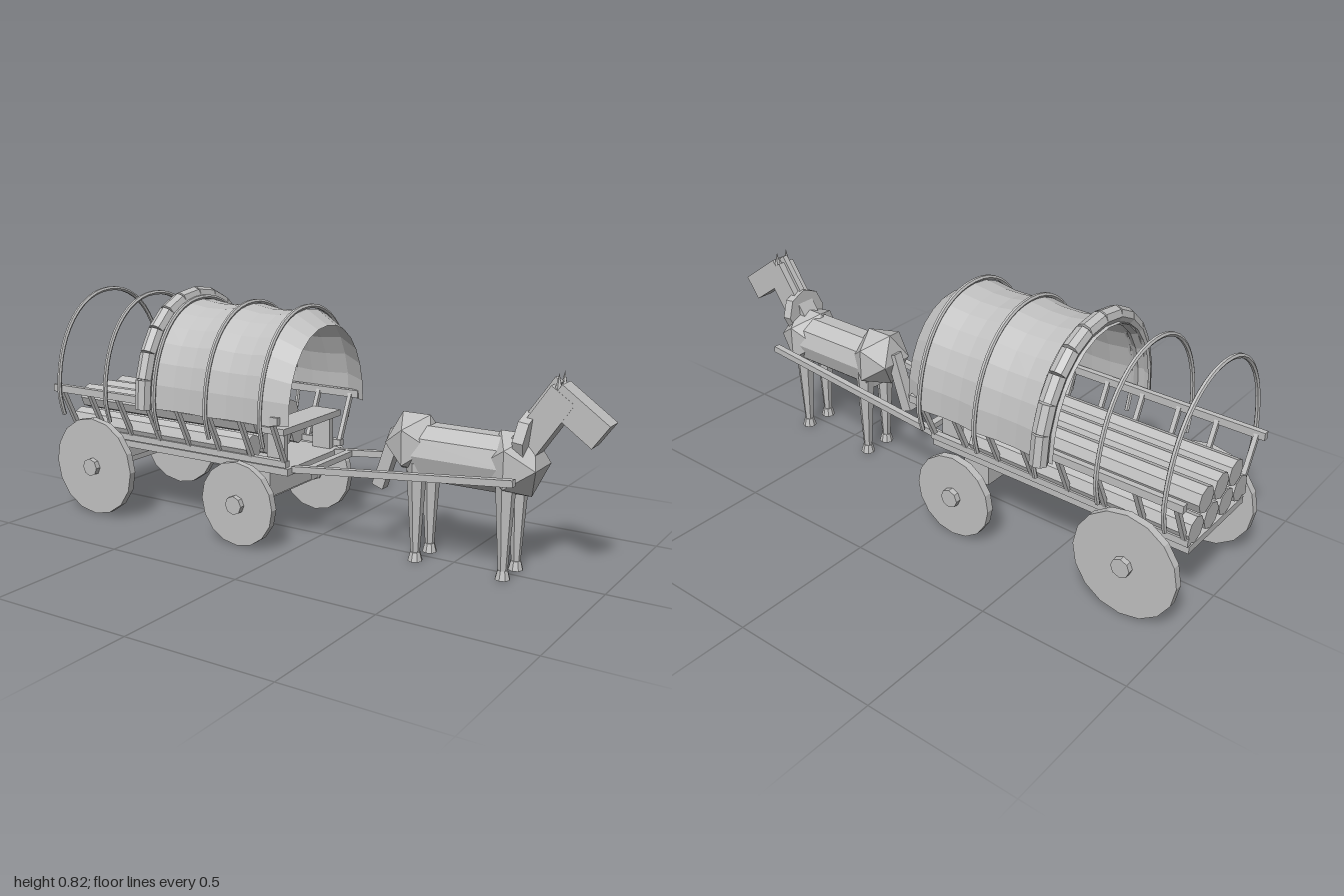
import * as THREE from 'three';

const grey = new THREE.MeshStandardMaterial({ color: 0xc0c0c0, flatShading: true, side: THREE.DoubleSide });
grey.name = 'plain grey';
const V = (x, y, z) => new THREE.Vector3(x, y, z);

function add(parent, name, geometry, x = 0, y = 0, z = 0) {
  const mesh = new THREE.Mesh(geometry, grey);
  mesh.name = name;
  mesh.position.set(x, y, z);
  parent.add(mesh);
  return mesh;
}

const box = (parent, name, w, h, d, x, y, z) => add(parent, name, new THREE.BoxGeometry(w, h, d), x, y, z);

// Square bar between two points: w is its sideways size, h its height
function bar(parent, name, a, b, w, h) {
  const mesh = new THREE.Mesh(new THREE.BoxGeometry(w, h, a.distanceTo(b)), grey);
  mesh.name = name;
  mesh.position.copy(a).lerp(b, 0.5);
  mesh.lookAt(b);
  parent.add(mesh);
  return mesh;
}

// Round bar between two points
function rod(parent, name, a, b, rTop, rBottom, sides) {
  const mesh = add(parent, name, new THREE.CylinderGeometry(rTop, rBottom, a.distanceTo(b), sides));
  mesh.position.copy(a).lerp(b, 0.5);
  mesh.quaternion.setFromUnitVectors(V(0, 1, 0), b.clone().sub(a).normalize());
  return mesh;
}

// Point on the canopy arch, t from 0 (left foot) to 1 (right foot)
const ARCH_Y = 0.43;
function arch(x, a, b, t) {
  const c = Math.cos(t * Math.PI), s = Math.max(0, Math.sin(t * Math.PI)), p = 2 / 2.12;
  return V(x, ARCH_Y + b * s ** p, a * Math.sign(c) * Math.abs(c) ** p);
}

function buildWagon() {
  const wagon = new THREE.Group();
  wagon.name = 'wagon';

  // Undercarriage: wheels, hubs, axles and bolsters
  for (const [label, x, r, depth] of [['rear', -0.82, 0.176, 0.05], ['front', -0.18, 0.144, 0.1]]) {
    for (const s of [1, -1]) {
      add(wagon, label + 'Wheel', new THREE.CylinderGeometry(r, r, 0.026, 16), x, r, s * 0.238).rotation.x = Math.PI / 2;
      add(wagon, label + 'Hub', new THREE.CylinderGeometry(0.032, 0.032, 0.054, 8), x, r, s * 0.243).rotation.x = Math.PI / 2;
    }
    box(wagon, label + 'Axle', 0.04, 0.04, 0.44, x, r, 0);
    box(wagon, label + 'Bolster', depth, 0.245 - r, 0.254, x, (0.245 + r) / 2, 0);
  }

  // Bed with slanted, slatted sides
  box(wagon, 'bed', 0.95, 0.024, 0.334, -0.505, 0.255, 0);
  for (const s of [1, -1]) {
    box(wagon, 'lowerRail', 0.95, 0.022, 0.022, -0.505, 0.284, s * 0.168);
    box(wagon, 'upperRail', 0.985, 0.026, 0.02, -0.5, 0.447, s * 0.246);
    for (let i = 0; i < 8; i++) {
      const x = -0.04 - i * 0.132;
      bar(wagon, 'sidePost', V(x, 0.28, s * 0.166), V(x, 0.45, s * 0.245), 0.015, 0.015);
    }
  }

  // Stacked logs
  for (const [y, zs] of [[0.312, [-0.135, -0.045, 0.045, 0.135]], [0.39, [-0.09, 0, 0.09]]]) {
    for (const z of zs) rod(wagon, 'log', V(-0.98, y, z), V(-0.19, y, z), 0.044, 0.044, 8);
  }

  // Driver's seat
  box(wagon, 'seat', 0.11, 0.022, 0.348, -0.095, 0.39, 0);
  for (const s of [1, -1]) box(wagon, 'seatLeg', 0.07, 0.12, 0.022, -0.09, 0.32, s * 0.138);

  // Bent hoops whose feet tuck inward
  for (let i = 0; i < 5; i++) {
    const x = -0.944 + i * 0.22;
    const points = [V(x, 0.355, 0.257)];
    for (let k = 0; k <= 14; k++) points.push(arch(x, 0.275, 0.352, k / 14));
    points.push(V(x, 0.355, -0.257));
    add(wagon, 'hoop', new THREE.TubeGeometry(new THREE.CatmullRomCurve3(points), 32, 0.008, 6));
  }

  // Canvas: arch sections that sag between hoops and narrow at the front
  const rows = [[-0.57, 0.99], [-0.504, 1], [-0.43, 0.97], [-0.36, 0.97], [-0.284, 1],
    [-0.21, 0.965], [-0.14, 0.965], [-0.064, 0.995], [0.018, 0.855]];
  const canvas = new THREE.PlaneGeometry(1, 1, 14, rows.length - 1);
  const pos = canvas.attributes.position;
  rows.forEach(([x, k], j) => {
    for (let i = 0; i <= 14; i++) {
      const p = arch(x, 0.27 * k, 0.345 * k, i / 14);
      pos.setXYZ(j * 15 + i, p.x, p.y, p.z);
    }
  });
  canvas.computeVertexNormals();
  add(wagon, 'canvas', canvas);

  // Rolled-up canvas in short segments
  for (let i = 0; i < 12; i++) {
    const a = arch(-0.536, 0.29, 0.358, i / 12), b = arch(-0.536, 0.29, 0.358, (i + 1) / 12);
    rod(wagon, 'canvasRoll', a, b, 0.029, 0.029, 8);
  }

  // Shafts and crossbar
  for (const s of [1, -1]) bar(wagon, 'shaft', V(-0.03, 0.26, s * 0.131), V(0.75, 0.337, s * 0.131), 0.023, 0.022);
  box(wagon, 'crossbar', 0.025, 0.02, 0.28, 0.03, 0.265, 0);
  return wagon;
}

function buildHorse() {
  const horse = new THREE.Group();
  horse.name = 'horse';

  // Body
  rod(horse, 'barrel', V(0.36, 0.355, 0), V(0.71, 0.355, 0), 0.094, 0.094, 10).scale.z = 0.94;
  const haunch = add(horse, 'haunch', new THREE.IcosahedronGeometry(0.11, 0), 0.355, 0.38, 0);
  haunch.scale.set(0.85, 1, 1.08);
  const chest = add(horse, 'chest', new THREE.IcosahedronGeometry(0.115, 0), 0.7, 0.36, 0);
  chest.scale.set(0.9, 1, 1.02);

  // Legs and hooves
  for (const [label, x] of [['hind', 0.385], ['front', 0.69]]) {
    for (const s of [1, -1]) {
      rod(horse, label + 'Leg', V(x, 0.025, s * 0.05), V(x, 0.33, s * 0.05), 0.034, 0.015, 6);
      add(horse, label + 'Hoof', new THREE.CylinderGeometry(0.017, 0.025, 0.03, 8), x, 0.015, s * 0.05);
    }
  }

  // Neck, collar and mane
  bar(horse, 'neck', V(0.725, 0.41, 0), V(0.85, 0.595, 0), 0.068, 0.09);
  const collar = add(horse, 'collar', new THREE.CylinderGeometry(0.084, 0.084, 0.035, 8), 0.735, 0.445, 0);
  collar.rotation.z = -Math.PI / 2 - 0.12;
  bar(horse, 'mane', V(0.745, 0.52, 0), V(0.825, 0.635, 0), 0.02, 0.025);

  // Head and ears
  bar(horse, 'head', V(0.82, 0.59, 0), V(0.97, 0.483, 0), 0.066, 0.09);
  for (const s of [1, -1]) add(horse, 'ear', new THREE.ConeGeometry(0.012, 0.05, 5), 0.832, 0.632, s * 0.022);

  // Tail
  bar(horse, 'tail', V(0.29, 0.41, 0), V(0.222, 0.212, 0), 0.036, 0.042);
  return horse;
}

export function createModel() {
  const model = new THREE.Group();
  model.name = 'horseAndWagon';
  model.add(buildWagon(), buildHorse());
  return model;
}
